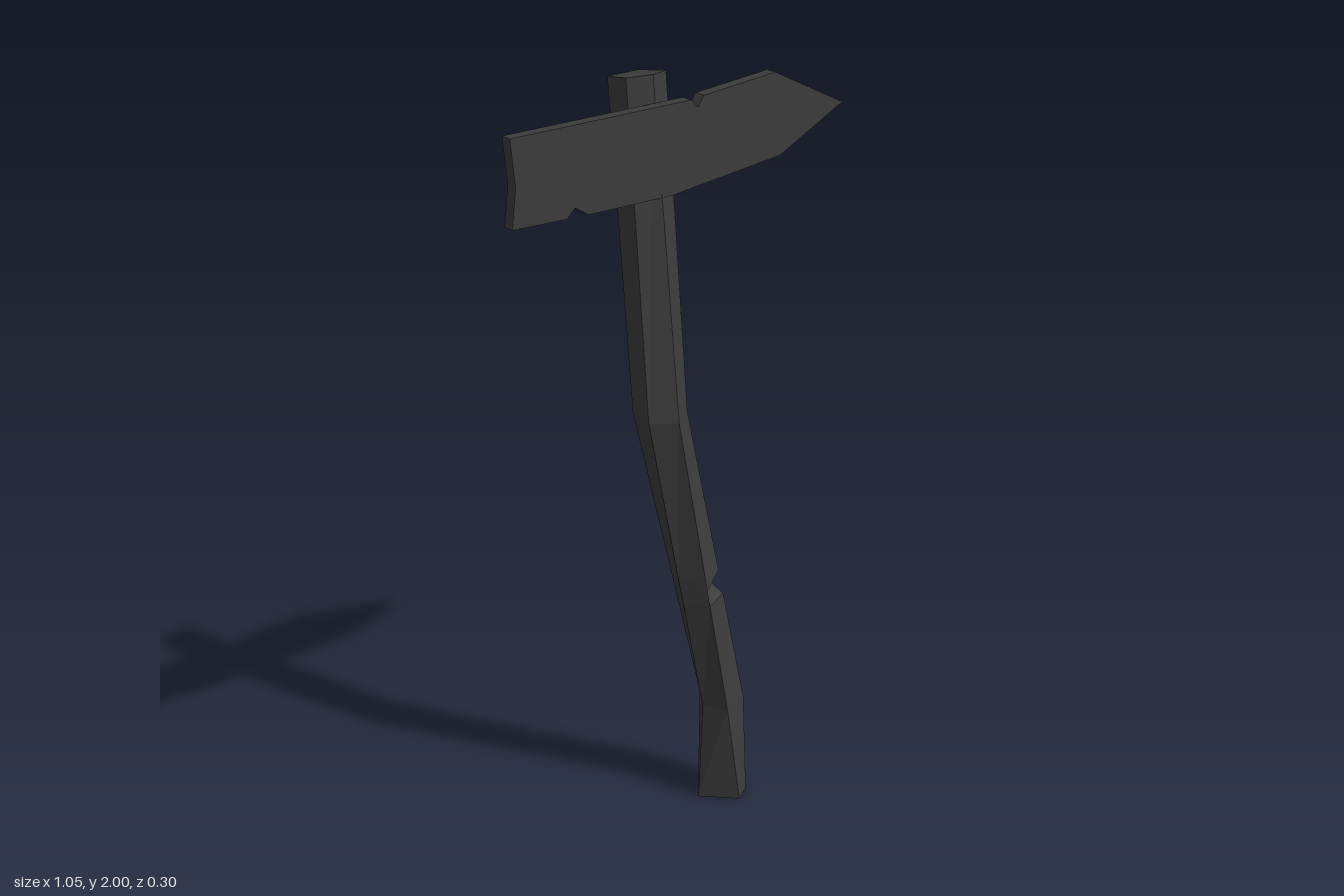
import * as THREE from 'three';

const wood = new THREE.MeshStandardMaterial({ color: 0x3c3c3c, flatShading: true });

// Crooked five-sided post: each ring runs front, right, back right, back left, left
function createPost() {
  const base = [[0.08, 0.148], [0.13, 0.115], [0.13, 0.045], [0.055, 0], [0, 0.07]];
  const knee = [[0.045, 0.138], [0.13, 0.1], [0.13, 0.035], [0.06, -0.003], [0.01, 0.075]];
  const bend = [[-0.085, 0.095], [-0.02, 0.045], [-0.035, -0.025], [-0.13, -0.04], [-0.147, 0.05]];
  const tip = [[-0.075, -0.02], [-0.013, -0.05], [-0.025, -0.147], [-0.128, -0.135], [-0.138, -0.045]];
  const ring = (points, y) => points.map(([x, z]) => new THREE.Vector3(x, y, z));
  const kneeRing = ring(knee, 0.28);
  const bendRing = ring(bend, 1.13);
  const between = (y) => kneeRing.map((p, i) => p.clone().lerp(bendRing[i], (y - 0.28) / 0.85));

  // Chipped notch in the right-hand edge
  const notch = between(0.645);
  notch[1].add(new THREE.Vector3(-0.04, 0, -0.025));
  notch[2].x -= 0.012;

  // The top is cut at a slight slope
  const top = ring(tip, 2);
  top.forEach((p) => { p.y = 2 + (p.z + 0.02) * 0.16; });

  const rings = [ring(base, 0), kneeRing, between(0.6), notch, between(0.67), bendRing, top];
  const corners = [];
  for (let r = 0; r < rings.length - 1; r++) {
    for (let i = 0; i < 5; i++) {
      const j = (i + 1) % 5;
      const [a, b, c, d] = [rings[r][i], rings[r][j], rings[r + 1][j], rings[r + 1][i]];
      corners.push(a, b, c, a, c, d);
    }
  }
  // End caps
  for (let i = 1; i < 4; i++) {
    corners.push(top[0], top[i], top[i + 1]);
    corners.push(rings[0][0], rings[0][i + 1], rings[0][i]);
  }
  const geometry = new THREE.BufferGeometry().setFromPoints(corners);
  geometry.computeVertexNormals();
  return geometry;
}

// Arrow-shaped plank with chips, swung slightly backwards towards its point
function createBoard() {
  const outline = [
    [-0.53, 1.71], [-0.37, 1.705], [-0.345, 1.728], [-0.305, 1.703], [-0.05, 1.7],
    [0.31, 1.737], [0.523, 1.84], [0.29, 1.955], [0.055, 1.935], [0.037, 1.908],
    [0.015, 1.93], [-0.53, 1.93], [-0.517, 1.81],
  ].map(([x, y]) => new THREE.Vector2(x, y));
  const geometry = new THREE.ExtrudeGeometry(new THREE.Shape(outline), { depth: 0.033, bevelEnabled: false });
  const pos = geometry.attributes.position;
  for (let i = 0; i < pos.count; i++) {
    pos.setZ(i, pos.getZ(i) - 0.018 - pos.getX(i) * 0.036);
  }
  geometry.computeVertexNormals();
  return geometry;
}

export function createModel() {
  const group = new THREE.Group();
  group.name = 'signpost';
  for (const [name, geometry] of [['post', createPost()], ['arrowBoard', createBoard()]]) {
    const mesh = new THREE.Mesh(geometry, wood);
    mesh.name = name;
    group.add(mesh);
  }
  return group;
}
